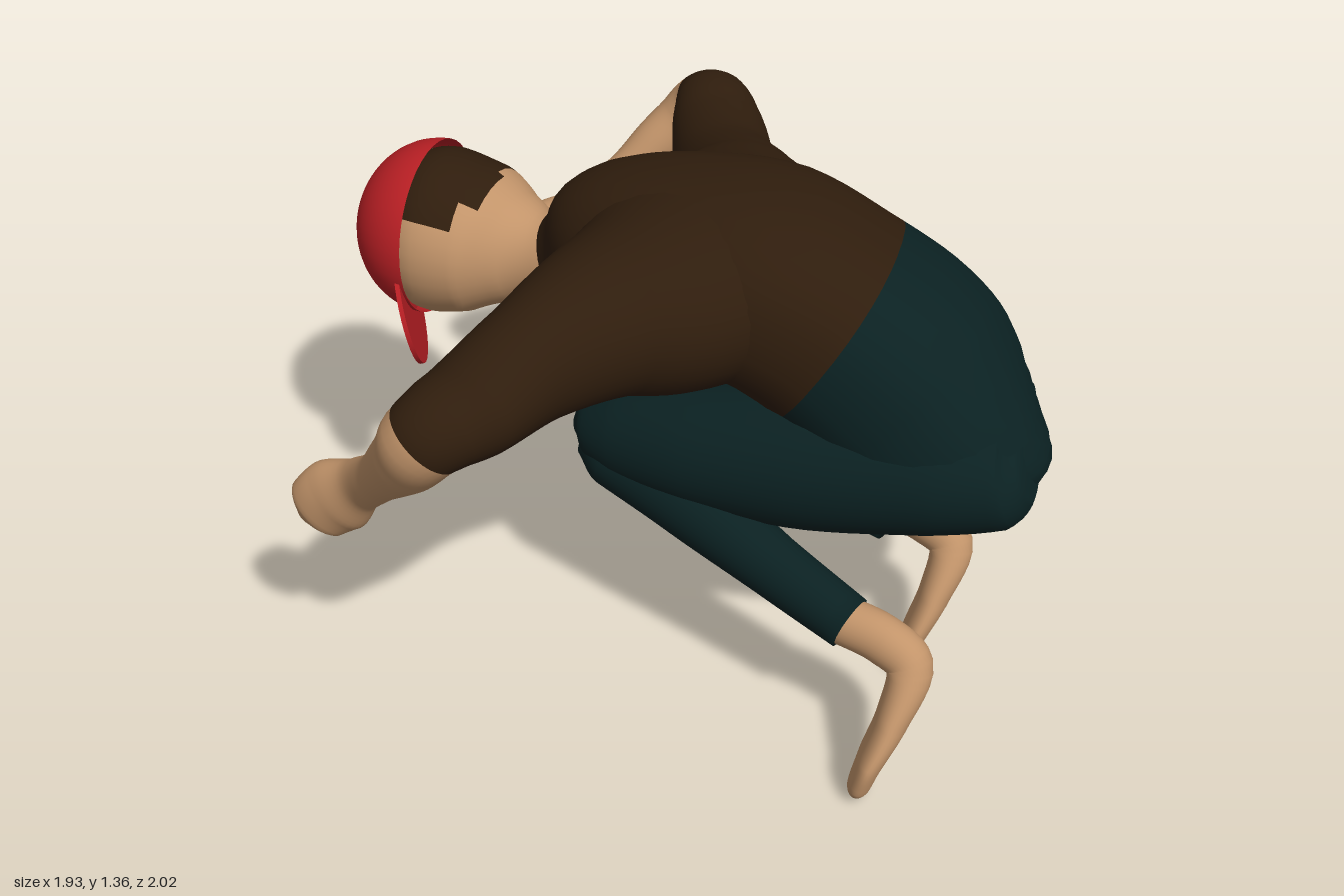
import * as THREE from 'three';

const mat = (name, color) => {
  const m = new THREE.MeshStandardMaterial({ color });
  m.name = name;
  return m;
};

// Smooth body through sections [x, y, z, radiusA, radiusB]; radiusA lies along ref.
// pick(point, t) chooses the material index of each face, t counting sections.
function loft(name, sections, ref, mats, pick = () => 0, power = 2) {
  const SUB = 6, SEG = 32, n = sections.length;
  const curve = new THREE.CatmullRomCurve3(sections.map(s => new THREE.Vector3(s[0], s[1], s[2])), false, 'centripetal');
  const radii = new THREE.CatmullRomCurve3(sections.map(s => new THREE.Vector3(s[3], s[4], 0)), false, 'centripetal');
  const up = new THREE.Vector3(...ref), pos = [], last = (n - 1) * SUB;
  const rings = [0, ...Array.from({ length: last + 1 }, (_, i) => i), last];
  rings.forEach((k, i) => {
    const u = k / last, c = curve.getPoint(u), r = radii.getPoint(u), t = curve.getTangent(u);
    const a = up.clone().addScaledVector(t, -up.dot(t)).normalize();
    const b = new THREE.Vector3().crossVectors(t, a);
    const closed = i === 0 || i === rings.length - 1 ? 0 : 1;
    for (let j = 0; j < SEG; j++) {
      const th = j / SEG * Math.PI * 2, co = Math.cos(th), si = Math.sin(th);
      const p = c.clone()
        .addScaledVector(a, closed * r.x * Math.sign(co) * Math.abs(co) ** (2 / power))
        .addScaledVector(b, closed * r.y * Math.sign(si) * Math.abs(si) ** (2 / power));
      pos.push(p.x, p.y, p.z);
    }
  });
  const faces = mats.map(() => []);
  const point = q => new THREE.Vector3(pos[q * 3], pos[q * 3 + 1], pos[q * 3 + 2]);
  for (let i = 0; i < rings.length - 1; i++) {
    for (let j = 0; j < SEG; j++) {
      const p = i * SEG + j, q = i * SEG + (j + 1) % SEG;
      const mid = point(p).add(point(q + SEG)).multiplyScalar(0.5);
      faces[pick(mid, (i - 0.5) / SUB)].push(p, q, p + SEG, q, q + SEG, p + SEG);
    }
  }
  const geo = new THREE.BufferGeometry();
  geo.setAttribute('position', new THREE.Float32BufferAttribute(pos, 3));
  geo.setIndex(faces.flat());
  let start = 0;
  faces.forEach((f, i) => { geo.addGroup(start, f.length, i); start += f.length; });
  geo.computeVertexNormals();
  const mesh = new THREE.Mesh(geo, mats);
  mesh.name = name;
  return mesh;
}

export function createModel() {
  const shirt = mat('brown shirt and hair', 0x2f1d0d);
  const pants = mat('dark teal trousers', 0x0b2122);
  const skin = mat('skin', 0xc2946a);
  const red = mat('red cap', 0xb81f24);
  red.side = THREE.DoubleSide;
  const model = new THREE.Group();
  model.name = 'crouchingFigure';
  const Y = [0, 1, 0], Z = [0, 0, 1];

  // Curved back rolled to one side, shirt above and trousers from the waist down
  model.add(loft('torso', [
    [-0.37, 1.0, -0.03, 0.125, 0.105], [-0.31, 1.02, -0.02, 0.175, 0.14], [-0.2, 1.065, 0, 0.235, 0.23],
    [-0.03, 1.095, 0.01, 0.25, 0.31], [0.2, 1.09, 0.01, 0.255, 0.355], [0.395, 0.99, 0, 0.265, 0.35],
    [0.56, 0.87, 0, 0.28, 0.36], [0.66, 0.75, 0, 0.26, 0.37], [0.69, 0.64, -0.01, 0.17, 0.29],
  ], [0, 1, -0.13], [shirt, pants], (p, t) => (t > 5 ? 1 : 0), 2.3));

  // Arms: sleeves flaring broadly into the chest, bent elbows, forearms ending in rounded hands
  model.add(loft('leftArm', [
    [0.05, 1.105, 0.1, 0.245, 0.355], [-0.01, 1.12, 0.26, 0.225, 0.285],
    [-0.1, 1.135, 0.42, 0.185, 0.205], [-0.19, 1.13, 0.62, 0.15, 0.14], [-0.255, 1.115, 0.8, 0.115, 0.13],
    [-0.285, 1.12, 0.88, 0.105, 0.115], [-0.315, 1.1, 0.915, 0.1, 0.1],
    [-0.36, 1.035, 0.9, 0.09, 0.085], [-0.42, 0.96, 0.86, 0.078, 0.073], [-0.52, 0.84, 0.79, 0.062, 0.055],
    [-0.6, 0.76, 0.74, 0.068, 0.05], [-0.68, 0.69, 0.72, 0.1, 0.06],
    [-0.74, 0.635, 0.72, 0.09, 0.055], [-0.78, 0.6, 0.72, 0.03, 0.02],
  ], Y, [shirt, skin], (p, t) => (t > 6 ? 1 : 0)));
  model.add(loft('rightArm', [
    [0.06, 1.075, -0.1, 0.235, 0.345], [0.03, 1.04, -0.28, 0.205, 0.265],
    [-0.01, 1.01, -0.42, 0.19, 0.2], [-0.1, 1.0, -0.6, 0.15, 0.15], [-0.18, 1.03, -0.78, 0.112, 0.135],
    [-0.235, 1.055, -0.88, 0.1, 0.115], [-0.275, 1.035, -0.91, 0.09, 0.1],
    [-0.325, 0.98, -0.895, 0.085, 0.085], [-0.39, 0.92, -0.85, 0.077, 0.073], [-0.48, 0.83, -0.775, 0.062, 0.058],
    [-0.58, 0.75, -0.69, 0.064, 0.056], [-0.66, 0.69, -0.635, 0.09, 0.08],
    [-0.73, 0.64, -0.605, 0.08, 0.07], [-0.775, 0.61, -0.59, 0.03, 0.02],
  ], Y, [shirt, skin], (p, t) => (t > 6 ? 1 : 0)));

  // Folded legs: thigh forward to the knee, shin back to the ankle
  model.add(loft('leftThigh', [
    [0.935, 0.785, 0.2, 0.07, 0.08], [0.88, 0.765, 0.2, 0.14, 0.15], [0.7, 0.75, 0.205, 0.175, 0.19],
    [0.4, 0.715, 0.225, 0.19, 0.19], [0.1, 0.695, 0.24, 0.165, 0.165], [-0.1, 0.68, 0.23, 0.13, 0.13],
    [-0.2, 0.67, 0.22, 0.085, 0.09], [-0.24, 0.66, 0.22, 0.03, 0.03],
  ], Y, [pants]));
  model.add(loft('rightThigh', [
    [0.88, 0.66, -0.2, 0.08, 0.08], [0.82, 0.65, -0.2, 0.155, 0.155], [0.68, 0.64, -0.2, 0.195, 0.195],
    [0.4, 0.62, -0.2, 0.2, 0.185], [0.1, 0.58, -0.2, 0.165, 0.16], [-0.1, 0.54, -0.19, 0.125, 0.125],
    [-0.21, 0.53, -0.18, 0.085, 0.09], [-0.26, 0.53, -0.18, 0.03, 0.03],
  ], Y, [pants]));
  model.add(loft('leftShin', [
    [-0.2, 0.64, 0.23, 0.06, 0.06], [-0.12, 0.62, 0.25, 0.1, 0.1], [0.1, 0.56, 0.31, 0.105, 0.1],
    [0.35, 0.47, 0.39, 0.085, 0.08], [0.57, 0.4, 0.46, 0.073, 0.07],
  ], Y, [pants]));
  model.add(loft('rightShin', [
    [-0.22, 0.51, -0.18, 0.06, 0.06], [-0.12, 0.51, -0.17, 0.09, 0.1], [0.1, 0.49, -0.12, 0.1, 0.1],
    [0.35, 0.44, -0.04, 0.085, 0.08], [0.57, 0.4, 0.02, 0.073, 0.07],
  ], Y, [pants]));

  // Bare feet, toes pointing down
  for (const [name, dz] of [['leftFoot', 0], ['rightFoot', -0.485]]) {
    const foot = loft(name, [
      [0.54, 0.405, 0.455, 0.06, 0.065], [0.66, 0.385, 0.475, 0.06, 0.066], [0.735, 0.34, 0.495, 0.062, 0.06],
      [0.718, 0.22, 0.56, 0.08, 0.045], [0.68, 0.11, 0.61, 0.093, 0.036],
      [0.66, 0.035, 0.64, 0.058, 0.03], [0.655, 0.005, 0.645, 0.02, 0.015],
    ], Z, [skin]);
    foot.position.z = dz;
    model.add(foot);
  }

  // Neck and head; hair covers the back of the skull below the cap
  const hair = p => {
    if (p.x > -0.56 || p.x < -0.78) return 0;
    const dy = p.y - 1.0, dz = p.z + 0.055;
    const back = (dy * 0.75 - dz * 0.66) / Math.hypot(dy, dz);
    return back > (p.x < -0.61 ? -0.08 : 0.15) ? 1 : 0;
  };
  model.add(loft('head', [
    [-0.3, 1.02, -0.03, 0.11, 0.1], [-0.41, 1.0, -0.03, 0.115, 0.1], [-0.5, 0.995, -0.045, 0.15, 0.145],
    [-0.6, 1.0, -0.055, 0.2, 0.21], [-0.72, 1.005, -0.055, 0.225, 0.222], [-0.84, 1.01, -0.055, 0.18, 0.17],
    [-0.91, 1.01, -0.055, 0.07, 0.07],
  ], Y, [skin, shirt], hair));

  // Cap: the crown points forward, the brim follows the downturned face
  const cap = new THREE.Group();
  cap.name = 'cap';
  const crown = new THREE.Vector3(-1, 0, 0), face = new THREE.Vector3(0, -0.78, 0.63).normalize();
  cap.quaternion.setFromRotationMatrix(
    new THREE.Matrix4().makeBasis(new THREE.Vector3().crossVectors(crown, face), crown, face));
  cap.position.set(-0.74, 1.01, -0.055);
  const dome = new THREE.Mesh(new THREE.SphereGeometry(1, 40, 16, 0, Math.PI * 2, 0, Math.PI / 2), red);
  dome.name = 'capDome';
  dome.scale.set(0.235, 0.212, 0.237);
  const brim = new THREE.Mesh(new THREE.CylinderGeometry(1, 1, 0.012, 32), red);
  brim.name = 'capBrim';
  brim.scale.set(0.155, 1, 0.155);
  brim.position.set(0, 0.03, 0.23);
  brim.rotation.set(0.4, 0, -0.2);
  cap.add(dome, brim);
  model.add(cap);

  return model;
}
